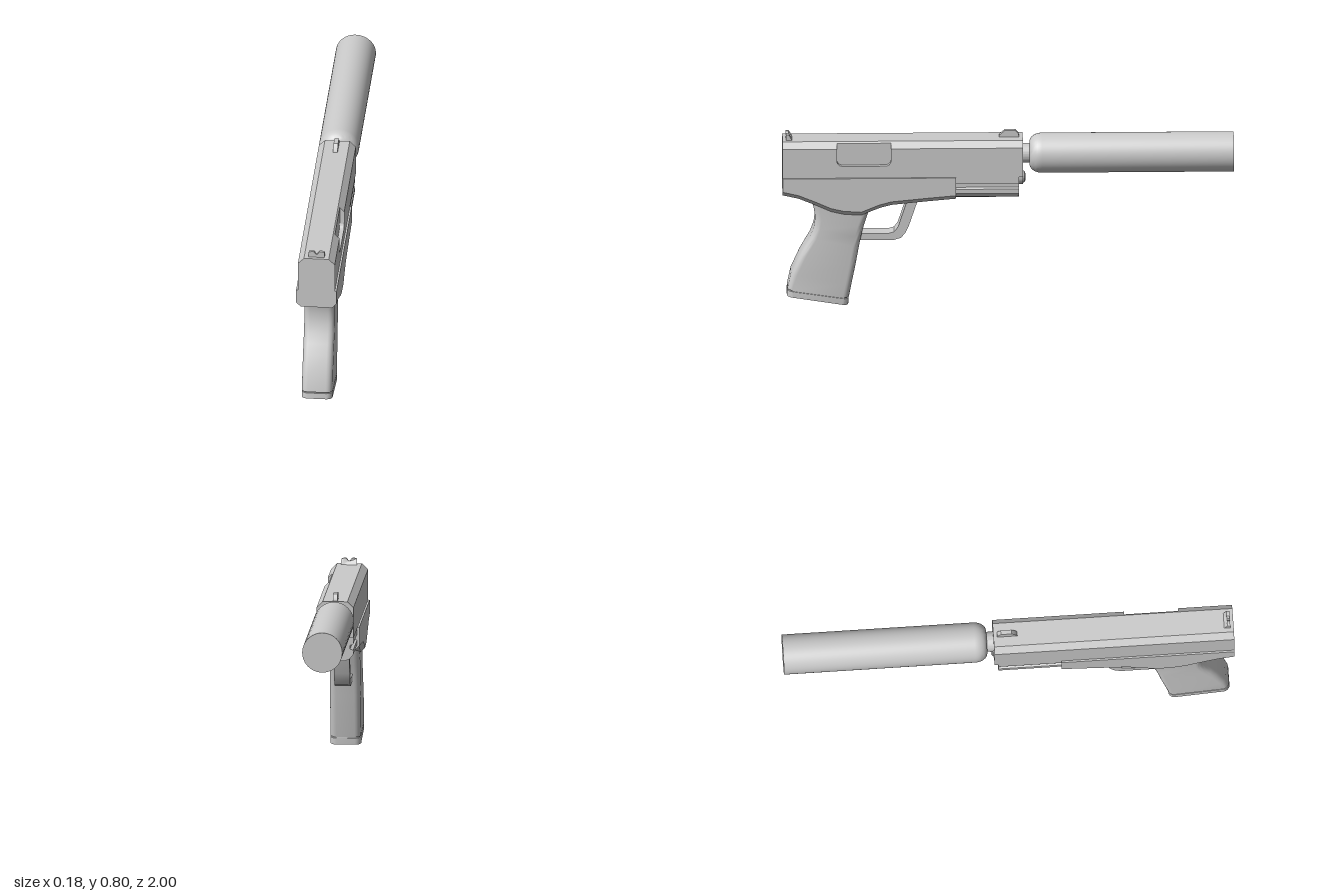
import * as THREE from 'three';
import { toCreasedNormals } from 'three/addons/utils/BufferGeometryUtils.js';

const material = new THREE.MeshStandardMaterial({ color: 0xcccccc });

function part(parent, name, geometry, crease = 0.6) {
  const mesh = new THREE.Mesh(toCreasedNormals(geometry, crease), material);
  mesh.name = name;
  parent.add(mesh);
  return mesh;
}

const shapeOf = pts => new THREE.Shape(pts.map(p => new THREE.Vector2(...p)));
const mirrored = half => [...half, ...half.map(([x, y]) => [-x, y]).reverse()];

// Outline in (x, y), extruded from z0 to z1
function alongZ(shape, z0, z1) {
  return new THREE.ExtrudeGeometry(shape, { depth: z1 - z0, bevelEnabled: false }).translate(0, 0, z0);
}

// Outline in (z, y), extruded from x0 to x1
function alongX(shape, x0, x1) {
  return new THREE.ExtrudeGeometry(shape, { depth: x1 - x0, bevelEnabled: false, curveSegments: 8 })
    .rotateY(-Math.PI / 2).translate(x1, 0, 0);
}

// Cylinder or turned profile along -z; points are (radius, distance towards the muzzle)
function turned(profile, y) {
  const pts = profile.map(p => new THREE.Vector2(...p));
  return new THREE.LatheGeometry(pts, 48).rotateX(-Math.PI / 2).translate(0, y, 0);
}

// Skin over convex rings, capped at both ends
function loft(rings) {
  const n = rings[0].length, index = [], last = (rings.length - 1) * n;
  for (let i = 0; i < rings.length - 1; i++) {
    for (let j = 0; j < n; j++) {
      const a = i * n + j, b = i * n + (j + 1) % n;
      index.push(a, b, b + n, a, b + n, a + n);
    }
  }
  for (let k = 1; k < n - 1; k++) index.push(0, k + 1, k, last, last + k, last + k + 1);
  const g = new THREE.BufferGeometry();
  g.setAttribute('position', new THREE.Float32BufferAttribute(rings.flat(2), 3));
  g.setIndex(index);
  return g;
}

// Rounded ring spanning a back point and a front point, each (z, y)
function gripRing([backZ, backY, frontZ, frontY], half = 0.068, r = 0.028) {
  const length = Math.hypot(frontZ - backZ, frontY - backY), ring = [];
  const corners = [[half - r, length - r], [r - half, length - r], [r - half, r], [half - r, r]];
  corners.forEach(([cx, cv], c) => {
    for (let s = 0; s <= 5; s++) {
      const a = (c + s / 5) * Math.PI / 2;
      const t = (cv + r * Math.sin(a)) / length;
      ring.push([cx + r * Math.cos(a), backY + (frontY - backY) * t, backZ + (frontZ - backZ) * t]);
    }
  });
  return ring;
}

export function createModel() {
  const model = new THREE.Group();
  model.name = 'pistol';

  // Slide: chamfered core plus a side plate with the ejection port cut out
  const slide = new THREE.Group();
  slide.name = 'slide';
  model.add(slide);
  part(slide, 'slideCore', alongZ(shapeOf([
    [-0.082, 0.607], [0.062, 0.607], [0.062, 0.763], [0.055, 0.77], [-0.055, 0.77], [-0.082, 0.743],
  ]), -0.065, 1));

  const plate = shapeOf([[-0.065, 0.607], [1, 0.607], [1, 0.763], [0.76, 0.763], [0.76, 0.69]]);
  plate.quadraticCurveTo(0.76, 0.662, 0.73, 0.662);
  plate.lineTo(0.55, 0.662);
  plate.quadraticCurveTo(0.52, 0.662, 0.52, 0.69);
  plate.lineTo(0.52, 0.763);
  plate.lineTo(-0.065, 0.763);
  const plateGeometry = alongX(plate, 0.062, 0.082);
  const pp = plateGeometry.attributes.position;
  for (let i = 0; i < pp.count; i++) {
    if (pp.getX(i) > 0.07 && pp.getY(i) > 0.75) pp.setY(i, 0.743);
  }
  part(slide, 'ejectionPortPlate', plateGeometry);

  // Sights
  part(slide, 'frontSight', alongX(shapeOf([
    [-0.05, 0.765], [0.042, 0.765], [0.038, 0.78], [0.015, 0.8], [-0.032, 0.8], [-0.046, 0.785],
  ]), -0.01, 0.01));
  const rear = alongZ(shapeOf(mirrored([
    [0.035, 0.765], [0.035, 0.794], [0.02, 0.799], [0.012, 0.797], [0.003, 0.785],
  ])), 0.955, 0.985);
  const rp = rear.attributes.position;
  for (let i = 0; i < rp.count; i++) {
    if (rp.getY(i) > 0.78 && rp.getZ(i) < 0.97) rp.setZ(i, 0.972);
  }
  part(slide, 'rearSight', rear);

  // Frame: flat sides with a chamfer following the lower contour (z, y)
  const contour = [
    [0.232, 0.503], [0.357, 0.492], [0.518, 0.476], [0.57, 0.462], [0.614, 0.444], [0.652, 0.428],
    [0.73, 0.433], [0.786, 0.446], [0.85, 0.475], [0.93, 0.508], [1, 0.524],
  ];
  part(model, 'frame', loft(contour.map(([z, y]) => [
    [-0.07, y, z], [0.07, y, z], [0.09, y + 0.021, z],
    [0.09, 0.607, z], [-0.09, 0.607, z], [-0.09, y + 0.021, z],
  ])), 0.45);

  // Dust cover with an accessory groove on each side
  part(model, 'dustCover', alongZ(shapeOf(mirrored([
    [0.045, 0.502], [0.066, 0.512], [0.08, 0.53], [0.08, 0.55], [0.066, 0.555],
    [0.066, 0.572], [0.08, 0.577], [0.08, 0.607],
  ])), -0.048, 0.24), 0.3);

  // Recoil rod below the muzzle
  part(model, 'rodCollar', turned([[0, 0.03], [0.043, 0.03], [0.043, 0.065], [0, 0.065]], 0.59));
  part(model, 'recoilRod', turned([[0.026, 0.04], [0.026, 0.07], [0.02, 0.076], [0, 0.078]], 0.58));

  // Grip: stations of back (z, y) and front (z, y), bottom to top
  part(model, 'grip', loft([
    [0.978, 0.078, 0.706, 0.038], [0.963, 0.15, 0.694, 0.1], [0.925, 0.235, 0.678, 0.18],
    [0.9, 0.28, 0.669, 0.23], [0.877, 0.32, 0.661, 0.275], [0.861, 0.365, 0.652, 0.32],
    [0.855, 0.41, 0.64, 0.37], [0.862, 0.455, 0.624, 0.42], [0.875, 0.5, 0.612, 0.465],
  ].map(s => gripRing(s))));
  part(model, 'gripSeam', loft([[0.972, 0.07, 0.712, 0.03], [0.972, 0.08, 0.712, 0.04]]
    .map(s => gripRing(s, 0.064))));
  part(model, 'magazineBase', loft([[0.981, 0.046, 0.709, 0.003], [0.979, 0.073, 0.707, 0.032]]
    .map(s => gripRing(s))));

  // Trigger guard
  part(model, 'triggerGuard', alongX(shapeOf([
    [0.395, 0.505], [0.4, 0.485], [0.44, 0.365], [0.455, 0.332], [0.475, 0.309], [0.505, 0.299],
    [0.67, 0.299], [0.67, 0.33], [0.53, 0.33], [0.505, 0.337], [0.488, 0.36], [0.447, 0.485], [0.445, 0.505],
  ].reverse()), -0.035, 0.035));

  // Barrel and suppressor
  part(model, 'barrel', turned([[0.044, 0.05], [0.044, 0.12]], 0.692));
  const tube = [[0, 0.095], [0.045, 0.095]];
  for (let i = 0; i <= 8; i++) {
    const a = i / 8 * Math.PI / 2;
    tube.push([0.05 + 0.039 * Math.sin(a), 0.15 - 0.055 * Math.cos(a)]);
  }
  tube.push([0.089, 1], [0, 1]);
  part(model, 'suppressor', turned(tube, 0.692));

  return model;
}
